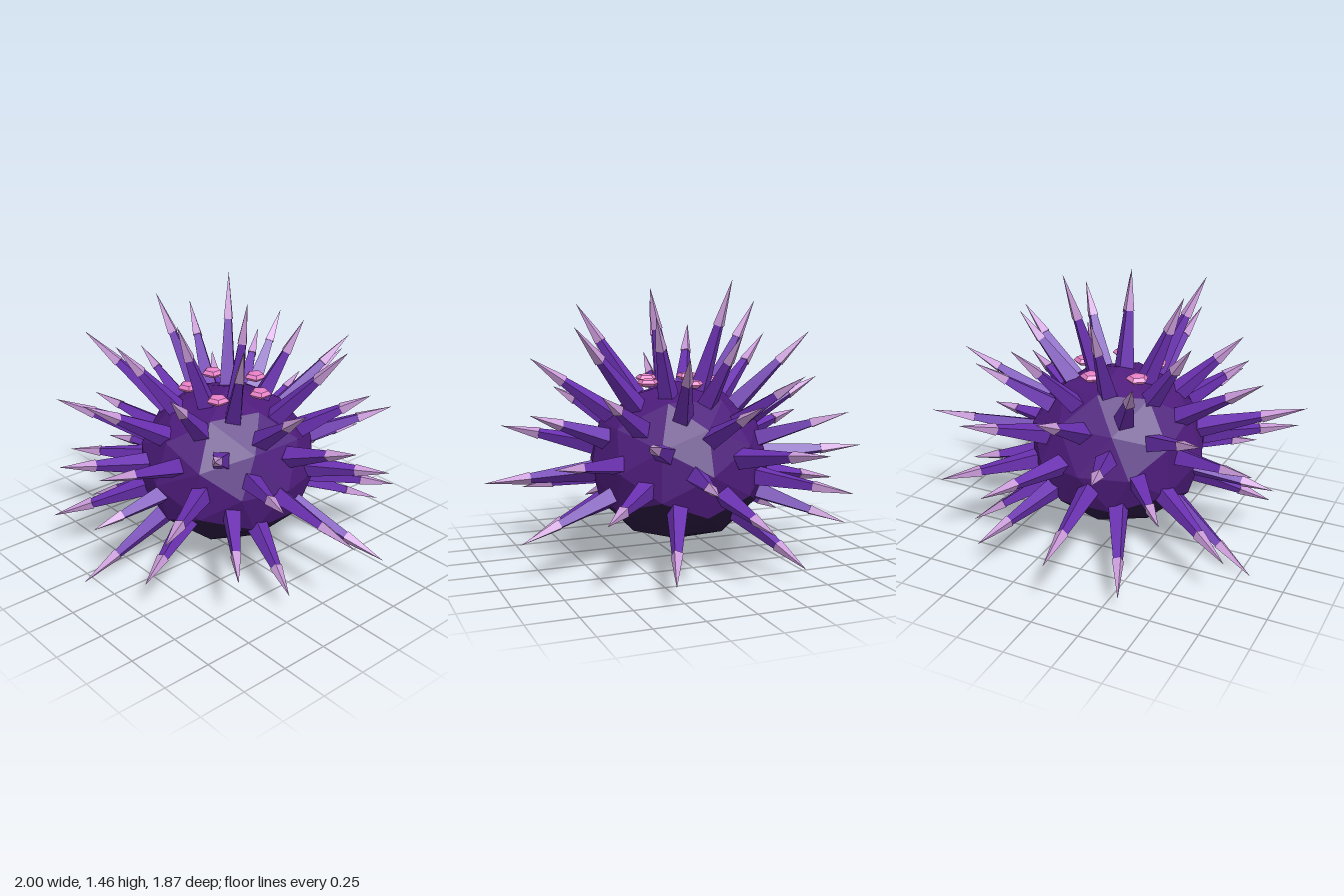
import * as THREE from 'three';

const flat = (name, color) => {
  const m = new THREE.MeshStandardMaterial({ color, flatShading: true });
  m.name = name;
  return m;
};

const RADIUS = 0.475, HALF_HEIGHT = 0.42;
const GOLDEN_ANGLE = Math.PI * (3 - Math.sqrt(5));

// Distance from the body centre to each spine tip, from the crown downwards
const REACH = [
  0.915, 0.99, 0.9, 0.868, 0.96, 0.982, 0.87, 0.89, 0.985, 0.96,
  0.865, 0.935, 1.02, 0.94, 0.88, 0.965, 0.85, 0.902, 0.83, 1.0,
  0.955, 0.875, 0.93, 1.013, 0.94, 0.9, 0.955, 1.005, 0.908, 0.882,
  0.99, 0.985, 0.88, 0.88, 1.015, 0.956, 0.872, 0.913, 1.013, 0.916,
  0.877, 0.973, 0.99, 0.937, 0.88, 1.0, 0.958, 0.862, 0.908, 0.99,
];

export function createModel() {
  const bodyPurple = flat('bodyPurple', 0x4e1c7c);
  const undersideDark = flat('undersideDark', 0x2a1840);
  const spinePurple = flat('spinePurple', 0x6a30b0);
  const tipLilac = flat('tipLilac', 0xc99ad8);
  const padPink = flat('padPink', 0xe880c8);

  const model = new THREE.Group();
  model.name = 'seaUrchin';
  const urchin = new THREE.Group();
  urchin.name = 'urchin';
  urchin.position.set(-0.01, 0.52, -0.017);
  model.add(urchin);

  // Faceted, slightly squashed body; the lowest faces are the dark underside
  const bodyGeo = new THREE.IcosahedronGeometry(1, 1);
  const p = bodyGeo.attributes.position;
  bodyGeo.clearGroups();
  for (let i = 0; i < p.count; i += 3) {
    const y = (p.getY(i) + p.getY(i + 1) + p.getY(i + 2)) / 3;
    bodyGeo.addGroup(i, 3, y < -0.45 ? 1 : 0);
  }
  bodyGeo.scale(RADIUS, HALF_HEIGHT, RADIUS);
  bodyGeo.computeVertexNormals();
  const body = new THREE.Mesh(bodyGeo, [bodyPurple, undersideDark]);
  body.name = 'body';
  urchin.add(body);

  // Spines in a golden-angle spiral: a tapered shaft and a pale pointed tip
  const up = new THREE.Vector3(0, 1, 0);
  REACH.forEach((reach, i) => {
    const y = 0.986 - 0.0308 * i;
    const h = Math.sqrt(1 - y * y);
    const a = -GOLDEN_ANGLE * i;
    const dir = new THREE.Vector3(h * Math.cos(a), y, h * Math.sin(a));
    const surface = 1 / Math.hypot(h / RADIUS, y / HALF_HEIGHT);
    const start = surface - 0.025;
    const joint = surface + (reach - surface) * 0.57;

    const spine = new THREE.Group();
    spine.name = 'spine';
    spine.quaternion.setFromUnitVectors(up, dir);
    const shaft = new THREE.Mesh(
      new THREE.CylinderGeometry(0.026, 0.056, joint - start, 4), spinePurple);
    shaft.name = 'spineShaft';
    shaft.position.y = (start + joint) / 2;
    const tip = new THREE.Mesh(
      new THREE.ConeGeometry(0.032, reach - joint, 4), tipLilac);
    tip.name = 'spineTip';
    tip.position.y = (joint + reach) / 2;
    spine.add(shaft, tip);
    urchin.add(spine);
  });

  // Ring of five flattened pads around the crown
  const padGeo = new THREE.SphereGeometry(0.06, 5, 4);
  padGeo.scale(1, 0.4, 1);
  for (let i = 0; i < 5; i++) {
    const a = -Math.PI / 2 + (i * Math.PI * 2) / 5;
    const pad = new THREE.Mesh(padGeo, padPink);
    pad.name = 'crownPad';
    pad.position.set(0.198 * Math.cos(a), 0.425, 0.198 * Math.sin(a));
    urchin.add(pad);
  }

  return model;
}
